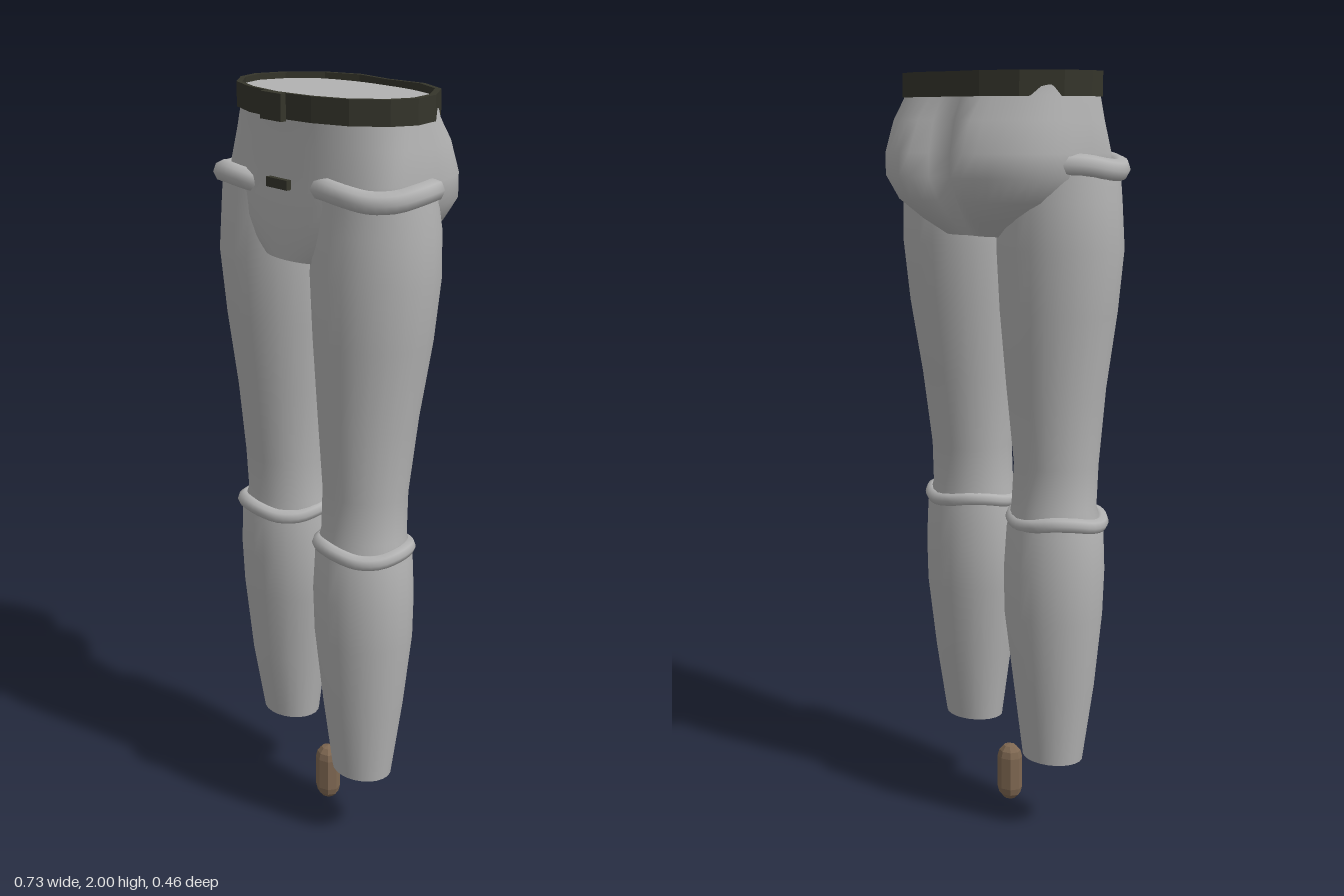
import * as THREE from 'three';

const mat = (name, color, extra = {}) => {
  const m = new THREE.MeshStandardMaterial({ color, ...extra });
  m.name = name;
  return m;
};

// Skin over closed rings listed bottom to top, with flat caps at both ends
function loft(rings) {
  const n = rings[0].length, pos = [], idx = [];
  const push = (r) => r.forEach((p) => pos.push(p.x, p.y, p.z));
  rings.forEach(push);
  for (let i = 0; i < rings.length - 1; i++) {
    for (let j = 0; j < n; j++) {
      const a = i * n + j, b = i * n + (j + 1) % n;
      idx.push(a, b, b + n, a, b + n, a + n);
    }
  }
  [rings[0], rings[rings.length - 1]].forEach((r, top) => {
    const base = pos.length / 3;
    push(r);
    const c = r.reduce((s, p) => s.add(p), new THREE.Vector3()).divideScalar(n);
    pos.push(c.x, c.y, c.z);
    for (let j = 0; j < n; j++) {
      const a = base + j, b = base + (j + 1) % n;
      idx.push(base + n, top ? a : b, top ? b : a);
    }
  });
  const g = new THREE.BufferGeometry();
  g.setAttribute('position', new THREE.Float32BufferAttribute(pos, 3));
  g.setIndex(idx);
  g.computeVertexNormals();
  return g;
}

const ring = (n, f) => Array.from({ length: n }, (_, j) => f((j / n) * Math.PI * 2));

// Pelvis ring: squarish back with a V-shaped cleft, rounded front
function pelvisRing([y, hw, zFront, zBack, zCleft, pFront]) {
  return ring(48, (t) => {
    const x = hw * Math.cos(t), s = Math.sin(t), cz = 0.04;
    if (s <= 0) return new THREE.Vector3(x, y, cz + (zFront - cz) * Math.pow(-s, pFront));
    const dent = (zCleft - zBack) * Math.max(0, 1 - Math.abs(x) / 0.09);
    return new THREE.Vector3(x, y, cz + (zBack - cz) * Math.pow(s, 0.65) + dent);
  });
}

// Soft rolled cuff following a slightly wavy ellipse
function cuff(cx, y, cz, rx, rz, tube, wave) {
  const pts = ring(14, (t) => new THREE.Vector3(
    cx + rx * Math.cos(t), y + wave * Math.sin(3 * t + 0.6), cz - rz * Math.sin(t)));
  return new THREE.TubeGeometry(new THREE.CatmullRomCurve3(pts, true), 42, tube, 8, true);
}

export function createModel() {
  const group = new THREE.Group();
  const grey = mat('grey', 0xb2b2b2);
  const dark = mat('dark olive', 0x35352b);
  const brown = mat('brown', 0x7f6852, { flatShading: true });
  const add = (name, geo, material, x = 0, y = 0, z = 0) => {
    const m = new THREE.Mesh(geo, material);
    m.name = name;
    m.position.set(x, y, z);
    group.add(m);
    return m;
  };

  // Pelvis: y, half width, front z, back z, cleft z, front squareness
  const pelvis = [
    [1.59, 0.13, 0.205, -0.11, -0.08, 0.4],
    [1.63, 0.20, 0.21, -0.16, -0.11, 0.45],
    [1.68, 0.27, 0.212, -0.21, -0.13, 0.5],
    [1.74, 0.31, 0.21, -0.235, -0.15, 0.55],
    [1.80, 0.315, 0.205, -0.23, -0.15, 0.6],
    [1.88, 0.305, 0.205, -0.20, -0.15, 0.8],
    [1.94, 0.295, 0.205, -0.155, -0.14, 0.9],
    [1.985, 0.29, 0.21, -0.138, -0.135, 1],
  ];
  add('pelvis', loft(pelvis.map(pelvisRing)), grey);

  // Legs: y, inner x, outer x, front z, back z, backward shift of the right leg
  const leg = [
    [0.2, 0.11, 0.285, 0.18, 0.035, 0.075],
    [0.4, 0.08, 0.307, 0.203, 0.0, 0.062],
    [0.6, 0.05, 0.327, 0.218, -0.025, 0.056],
    [0.72, 0.045, 0.327, 0.22, -0.03, 0.05],
    [0.83, 0.05, 0.32, 0.213, -0.027, 0.045],
    [0.89, 0.06, 0.3, 0.192, -0.015, 0.04],
    [1.0, 0.064, 0.298, 0.19, -0.02, 0.03],
    [1.2, 0.045, 0.313, 0.2, -0.05, 0.02],
    [1.4, 0.025, 0.342, 0.21, -0.08, 0.008],
    [1.56, 0.014, 0.357, 0.215, -0.096, 0],
    [1.68, 0.014, 0.354, 0.206, -0.095, 0],
    [1.78, 0.03, 0.342, 0.2, -0.08, 0],
  ];
  for (const [side, s] of [['left', 1], ['right', -1]]) {
    const shift = s < 0 ? 1 : 0;
    const rings = leg.map(([y, xi, xo, zf, zb, d]) => ring(24, (t) => new THREE.Vector3(
      s * (xi + xo) / 2 + (xo - xi) / 2 * Math.cos(t), y,
      (zf + zb) / 2 - shift * d - (zf - zb) / 2 * Math.sin(t))));
    add(side + 'Leg', loft(rings), grey);
    add(side + 'KneeCuff', cuff(s * 0.187, 0.855, 0.095 - shift * 0.042, 0.123, 0.108, 0.02, 0.007), grey);
    add(side + 'HipCuff', cuff(s * 0.193, s > 0 ? 1.775 : 1.765, 0.065, 0.143, 0.13, 0.029, 0.008), grey);
  }

  // Belt: faceted band, half outline as x, z from front to back
  const half = [[0, 0.222], [0.12, 0.207], [0.215, 0.172], [0.285, 0.105], [0.31, 0.04],
    [0.29, -0.035], [0.22, -0.12], [0.12, -0.16], [0, -0.148]];
  const outline = [...half, ...half.slice(1, -1).reverse().map(([x, z]) => [-x, z])];
  const toPath = (k) => outline.map(([x, z]) => new THREE.Vector2(x * k, -(0.04 + (z - 0.04) * k)));
  const band = new THREE.Shape(toPath(1));
  band.holes.push(new THREE.Path(toPath(0.94)));
  const beltGeo = new THREE.ExtrudeGeometry(band, { depth: 0.062, bevelEnabled: false });
  add('belt', beltGeo.rotateX(-Math.PI / 2), dark, 0, 1.938, 0);
  add('buckle', new THREE.BoxGeometry(0.08, 0.066, 0.016), dark, 0, 1.967, 0.227);
  add('frontClasp', new THREE.BoxGeometry(0.08, 0.024, 0.02), dark, 0, 1.78, 0.21);

  // Small faceted pod on the ground between the legs
  const pod = add('pod', new THREE.CapsuleGeometry(0.037, 0.09, 3, 8), brown, 0.005, 0.082, 0.066);
  pod.scale.z = 0.87;

  return group;
}
